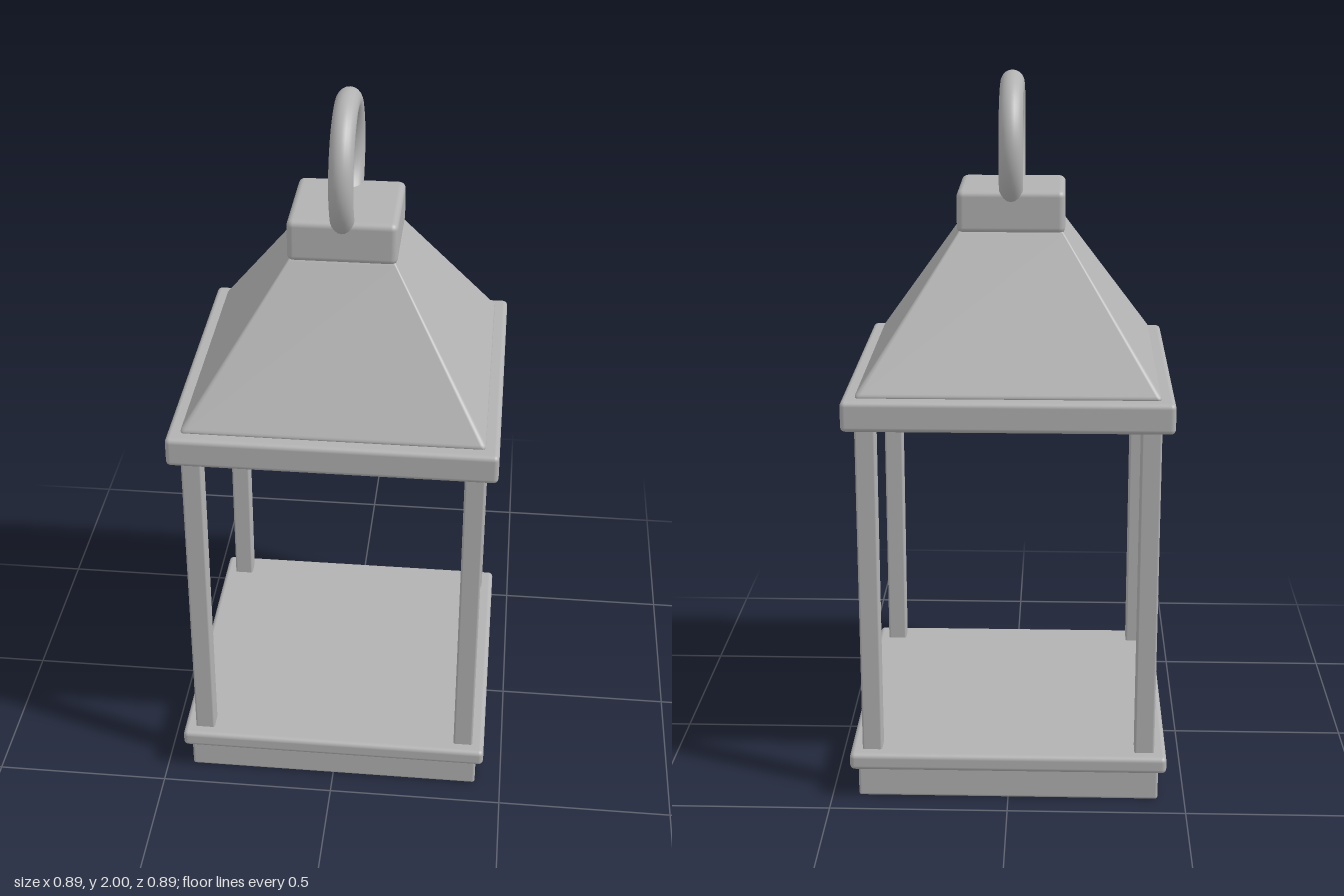
import * as THREE from 'three';
import { mergeVertices } from 'three/addons/utils/BufferGeometryUtils.js';
import { RoundedBoxGeometry } from 'three/addons/geometries/RoundedBoxGeometry.js';

export function createModel() {
  const model = new THREE.Group();
  model.name = 'lantern';
  const metal = new THREE.MeshStandardMaterial({ color: 0xb2b2b2 });
  metal.name = 'grey metal';

  function add(name, geometry, x = 0, y = 0, z = 0) {
    const mesh = new THREE.Mesh(geometry, metal);
    mesh.name = name;
    mesh.position.set(x, y, z);
    model.add(mesh);
    return mesh;
  }

  // Square slab with softened edges, from height y0 to y1
  function slab(name, width, y0, y1, bevel, x = 0, z = 0) {
    add(name, new RoundedBoxGeometry(width, y1 - y0, width, 3, bevel), x, (y0 + y1) / 2, z);
  }

  // Base and the two rimmed plates
  slab('baseFoot', 0.85, 0, 0.092, 0.008);
  slab('floorPlate', 0.894, 0.09, 0.14, 0.014);
  slab('roofPlate', 0.894, 1.09, 1.175, 0.014);

  // Four corner posts
  for (const x of [-0.385, 0.385]) {
    for (const z of [-0.385, 0.385]) slab('cornerPost', 0.056, 0.13, 1.1, 0.006, x, z);
  }

  // Roof: a rounded box tapered toward the top
  const y0 = 1.172, y1 = 1.585, bottom = 0.416, top = 0.138;
  let roof = new RoundedBoxGeometry(2 * bottom, y1 - y0, 2 * bottom, 3, 0.014);
  roof.deleteAttribute('normal');
  roof.deleteAttribute('uv');
  const p = roof.attributes.position;
  for (let i = 0; i < p.count; i++) {
    const t = p.getY(i) / (y1 - y0) + 0.5;
    const s = THREE.MathUtils.lerp(1, top / bottom, t);
    p.setX(i, p.getX(i) * s);
    p.setZ(i, p.getZ(i) * s);
  }
  roof = mergeVertices(roof, 1e-5);
  roof.computeVertexNormals();
  add('roof', roof, 0, (y0 + y1) / 2, 0);

  // Cap block and the carrying ring set into it
  slab('cap', 0.298, 1.57, 1.69, 0.018);
  add('ring', new THREE.TorusGeometry(0.17, 0.033, 20, 64), 0, 1.797, 0).rotation.y = Math.PI / 2;

  return model;
}
